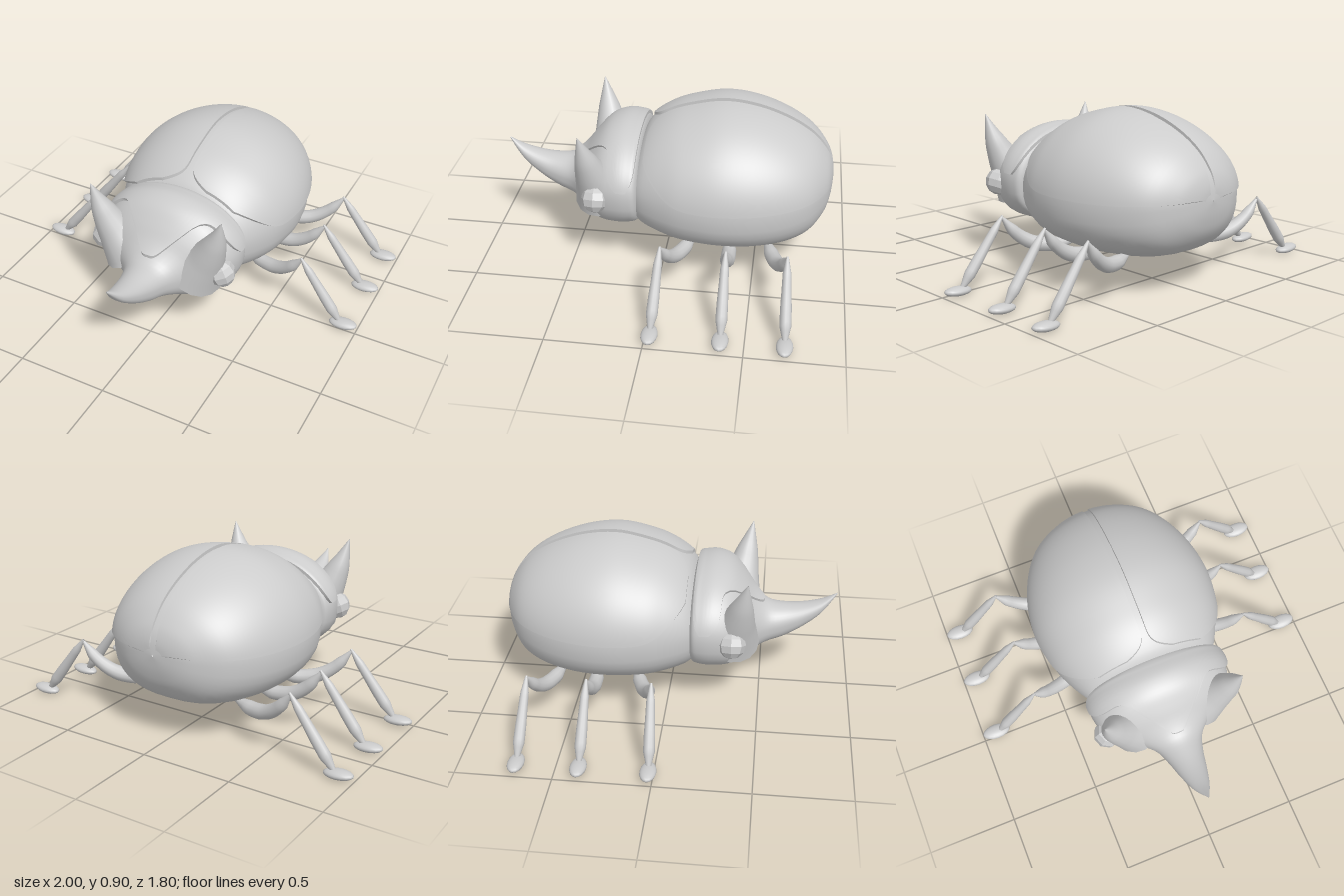
import * as THREE from 'three';
import { mergeVertices, toCreasedNormals } from 'three/addons/utils/BufferGeometryUtils.js';

const material = new THREE.MeshStandardMaterial({ color: 0xcccccc, side: THREE.DoubleSide });
const facetMaterial = new THREE.MeshStandardMaterial({ color: 0xcccccc, flatShading: true });

// Cross-sections, back to front: z, half width, top y, bottom y, y of widest point
const BODY = [
  [-0.905, 0.004, 0.50, 0.49, 0.495], [-0.893, 0.12, 0.57, 0.40, 0.49],
  [-0.86, 0.22, 0.64, 0.31, 0.48], [-0.78, 0.34, 0.73, 0.225, 0.47],
  [-0.65, 0.43, 0.81, 0.18, 0.46], [-0.48, 0.49, 0.87, 0.163, 0.455],
  [-0.30, 0.51, 0.89, 0.163, 0.455], [-0.12, 0.485, 0.855, 0.17, 0.46],
  [0, 0.44, 0.81, 0.19, 0.46], [0.10, 0.385, 0.74, 0.22, 0.46],
  [0.15, 0.34, 0.66, 0.26, 0.46],
];
const HEAD = [
  [0.115, 0.30, 0.62, 0.30, 0.47], [0.135, 0.38, 0.725, 0.245, 0.47],
  [0.18, 0.398, 0.745, 0.227, 0.47], [0.25, 0.395, 0.75, 0.22, 0.47],
  [0.33, 0.37, 0.72, 0.225, 0.46], [0.40, 0.31, 0.65, 0.25, 0.44],
  [0.46, 0.21, 0.575, 0.275, 0.42], [0.53, 0.135, 0.52, 0.30, 0.41],
  [0.62, 0.10, 0.51, 0.33, 0.42], [0.72, 0.075, 0.52, 0.39, 0.455],
  [0.82, 0.045, 0.55, 0.475, 0.51], [0.90, 0.003, 0.595, 0.585, 0.59],
];

const clamp = THREE.MathUtils.clamp;

// Smooth interpolation of the section rows
function sectionAt(rows, t) {
  const n = rows.length - 1, p = clamp(t, 0, 1) * n, i = Math.min(Math.floor(p), n - 1), f = p - i;
  const row = (k) => rows[clamp(k, 0, n)];
  return rows[0].map((_, c) => {
    const a = row(i - 1)[c], b = row(i)[c], d = row(i + 1)[c], e = row(i + 2)[c];
    return b + 0.5 * f * (d - a + f * (2 * a - 5 * b + 4 * d - e + f * (3 * (b - d) + e - a)));
  });
}

function tAtZ(rows, z) {
  let lo = 0, hi = 1;
  for (let k = 0; k < 25; k++) {
    const m = (lo + hi) / 2;
    if (sectionAt(rows, m)[0] < z) lo = m; else hi = m;
  }
  return lo;
}

// Point on the skin; angle 0 is the top, positive towards +x
function skin(rows, t, angle, off = 0) {
  const [z, w, top, bottom, mid] = sectionAt(rows, t);
  const s = Math.sin(angle), c = Math.cos(angle), e = c < 0 ? 0.78 : 1;
  const h = c < 0 ? mid - bottom : top - mid;
  return [
    Math.sign(s) * Math.abs(s) ** e * (w + off),
    mid + Math.sign(c) * Math.abs(c) ** e * (h + off), z,
  ];
}

function grid(nu, nv, pointAt) {
  const pos = [], index = [];
  for (let i = 0; i <= nu; i++) for (let j = 0; j <= nv; j++) pos.push(...pointAt(i, j));
  for (let i = 0; i < nu; i++) for (let j = 0; j < nv; j++) {
    const a = i * (nv + 1) + j, b = a + nv + 1;
    index.push(a, b, a + 1, b, b + 1, a + 1);
  }
  const g = new THREE.BufferGeometry();
  g.setAttribute('position', new THREE.Float32BufferAttribute(pos, 3));
  g.setIndex(index);
  return g;
}

function smooth(g) {
  g.deleteAttribute('normal');
  g.deleteAttribute('uv');
  g = mergeVertices(g, 1e-5);
  g.computeVertexNormals();
  return g;
}

const loft = (rows, nu, nv) =>
  smooth(grid(nu, nv, (i, j) => skin(rows, i / nu, (j % nv) / nv * Math.PI * 2)));

// Raised plate whose outer ring drops into the skin
function plate(nu, nv, pointAt) {
  const g = grid(nu, nv, (i, j) => {
    const rim = i === 0 || j === 0 || i === nu || j === nv;
    return pointAt((clamp(i, 1, nu - 1) - 1) / (nu - 2), (clamp(j, 1, nv - 1) - 1) / (nv - 2), rim ? -0.012 : 0.016);
  });
  return toCreasedNormals(g, 0.7);
}

// Tube with a radius that changes along its path
function taperedTube(points, radii, sides = 12, steps = 20) {
  const path = new THREE.CatmullRomCurve3(points.map((p) => new THREE.Vector3(...p)));
  const g = new THREE.TubeGeometry(path, steps, 1, sides);
  const pos = g.attributes.position, v = new THREE.Vector3();
  for (let i = 0; i < pos.count; i++) {
    const t = Math.floor(i / (sides + 1)) / steps, c = path.getPointAt(t);
    const p = t * (radii.length - 1), k = Math.min(Math.floor(p), radii.length - 2);
    const r = THREE.MathUtils.lerp(radii[k], radii[k + 1], p - k);
    v.fromBufferAttribute(pos, i).sub(c).multiplyScalar(r).add(c);
    pos.setXYZ(i, v.x, v.y, v.z);
  }
  return smooth(g);
}

function add(parent, name, geometry, mat = material) {
  const m = new THREE.Mesh(geometry, mat);
  m.name = name;
  parent.add(m);
  return m;
}

export function createModel() {
  const model = new THREE.Group();
  model.name = 'beetle';

  add(model, 'abdomen', loft(BODY, 44, 40));
  add(model, 'headWithNoseHorn', loft(HEAD, 44, 36));

  // Neck shield with a tongue reaching to the nose horn
  const reach = 1.4;
  add(model, 'neckShield', plate(24, 50, (u, v, off) => {
    const angle = (v * 2 - 1) * reach, side = (Math.abs(angle) / reach) ** 8;
    const back = 0.14 + 0.04 * side;
    const front = 0.29 - 0.06 * side + 0.22 * Math.exp(-((angle / 0.5) ** 4));
    return skin(HEAD, tAtZ(HEAD, back + (front - back) * u), angle, off);
  }));

  for (const side of [1, -1]) {
    const label = side > 0 ? 'left' : 'right';

    // Wing case: narrow seam on top, rounded front corners
    add(model, label + 'WingCase', plate(48, 28, (u, v, off) => {
      const s = 1 - (1 - u) ** 1.3, t = 0.05 + 0.85 * s;
      const seam = Math.asin(Math.min(0.9, 0.017 / sectionAt(BODY, t)[1]));
      const inner = seam + 0.3 * Math.max(0, (s - 0.85) / 0.15) ** 4;
      const outer = 1.49 - 0.15 * (1 - s) ** 4 - 0.65 * Math.max(0, (s - 0.7) / 0.3) ** 2.5;
      const w = side > 0 ? v : 1 - v;
      return skin(BODY, t, side * (inner + (outer - inner) * w), off);
    }));

    add(model, label + 'BrowHorn', taperedTube(
      [[0.2, 0.4, 0.34], [0.285, 0.55, 0.375], [0.34, 0.68, 0.4], [0.38, 0.82, 0.425]]
        .map(([x, y, z]) => [side * x, y, z]),
      [0.155, 0.1, 0.058, 0.002], 16));

    const eye = add(model, label + 'Eye', new THREE.SphereGeometry(0.076, 8, 6), facetMaterial);
    eye.position.set(side * 0.352, 0.447, 0.35);
    eye.rotation.z = side * 0.4;

    // Legs: knee z, root z, foot z
    const legs = { front: [-0.04, -0.17, -0.025], middle: [-0.375, -0.375, -0.38], rear: [-0.685, -0.57, -0.70] };
    for (const [place, [knee, root, foot]] of Object.entries(legs)) {
      const leg = new THREE.Group();
      leg.name = `${label}${place[0].toUpperCase()}${place.slice(1)}Leg`;
      const zAt = (k) => root + (knee - root) * k;
      add(leg, 'thigh', taperedTube(
        [[0.27, 0.2, zAt(0)], [0.38, 0.19, zAt(0.3)], [0.48, 0.21, zAt(0.58)], [0.57, 0.27, zAt(0.82)], [0.65, 0.37, knee]]
          .map(([x, y, z]) => [side * x, y, z]),
        [0.015, 0.038, 0.04, 0.036, 0.03, 0.004]));
      add(leg, 'shin', taperedTube(
        [[side * 0.64, 0.372, knee], [side * 0.77, 0.2, (knee + foot) / 2], [side * 0.9, 0.03, foot]],
        [0.006, 0.022, 0.025, 0.029, 0.03, 0.01]));
      const pad = add(leg, 'foot', new THREE.SphereGeometry(1, 16, 10));
      pad.scale.set(0.08, 0.024, 0.043);
      pad.position.set(side * 0.92, 0.027, foot);
      pad.rotation.z = side * 0.06;
      model.add(leg);
    }
  }
  return model;
}
